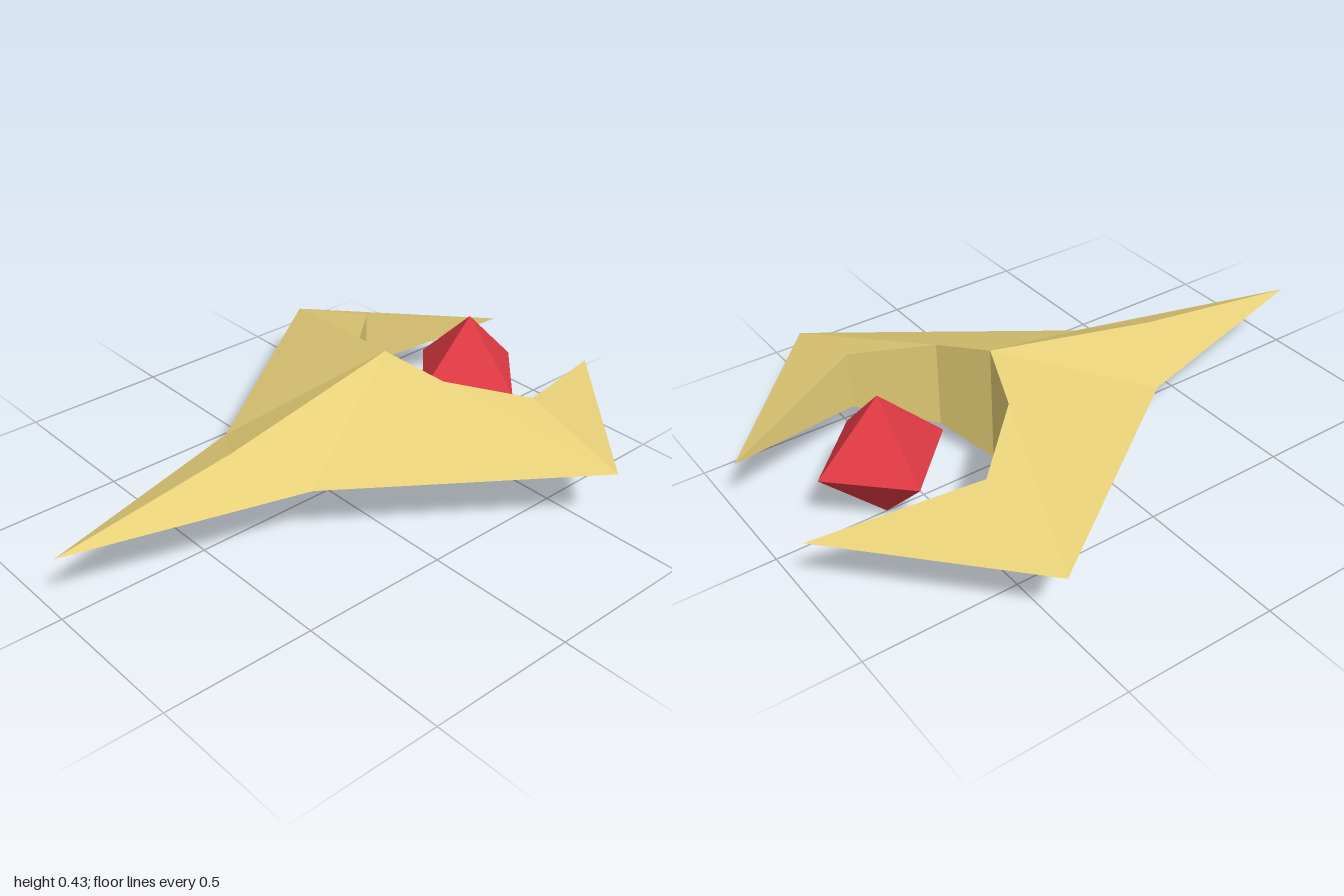
import * as THREE from 'three';

const MID = 0.215; // height of the sharp outer rim

export function createModel() {
  const gold = new THREE.MeshStandardMaterial({ color: 0xe6cf78 });
  gold.name = 'gold hull';
  gold.flatShading = true;
  const red = new THREE.MeshStandardMaterial({ color: 0xe03a43 });
  red.name = 'red gem';
  red.flatShading = true;

  const model = new THREE.Group();
  model.name = 'clawShip';

  // One quarter of the hull, mirrored across the rim plane (sy) and the centre line (sz)
  function hullQuarter(sy, sz) {
    const lift = (top, bottom) => (sy > 0 ? top : bottom);
    const p = (x, y, z) => [x, y, z * sz];
    const nose = p(-1, MID, 0);
    const ridge = p(-0.385, lift(0.302, 0.14), 0);
    const peak = p(0.24, lift(0.43, 0.03), 0);
    const shoulder = p(-0.245, MID, 0.213);
    const wing = p(0.51, MID, 0.75);
    const tip = p(1, MID, 0.215);
    const inner1 = p(0.31, lift(0.376, 0.077), 0.197);
    const inner2 = p(0.52, lift(0.321, 0.122), 0.39);
    const rim = (v) => [v[0], MID, v[2]];

    const faces = [
      // sloping outer skin
      [nose, shoulder, ridge], [ridge, shoulder, peak], [peak, shoulder, inner1],
      [shoulder, wing, inner1], [inner1, wing, inner2], [wing, tip, inner2],
      // upright walls inside the claw
      [rim(peak), peak, inner1], [rim(peak), inner1, rim(inner1)],
      [rim(inner1), inner1, inner2], [rim(inner1), inner2, rim(inner2)],
      [rim(inner2), inner2, tip],
    ];
    return faces.flatMap(([a, b, c]) => (sy * sz > 0 ? [a, b, c] : [a, c, b])).flat();
  }

  const coords = [];
  for (const sy of [1, -1]) for (const sz of [1, -1]) coords.push(...hullQuarter(sy, sz));
  const hullGeometry = new THREE.BufferGeometry();
  hullGeometry.setAttribute('position', new THREE.Float32BufferAttribute(coords, 3));
  hullGeometry.computeVertexNormals();
  const hull = new THREE.Mesh(hullGeometry, gold);
  hull.name = 'hull';
  model.add(hull);

  // Gem floating between the claws
  const gem = new THREE.Mesh(new THREE.OctahedronGeometry(0.212), red);
  gem.name = 'gem';
  gem.position.set(0.63, MID, 0);
  model.add(gem);

  return model;
}
